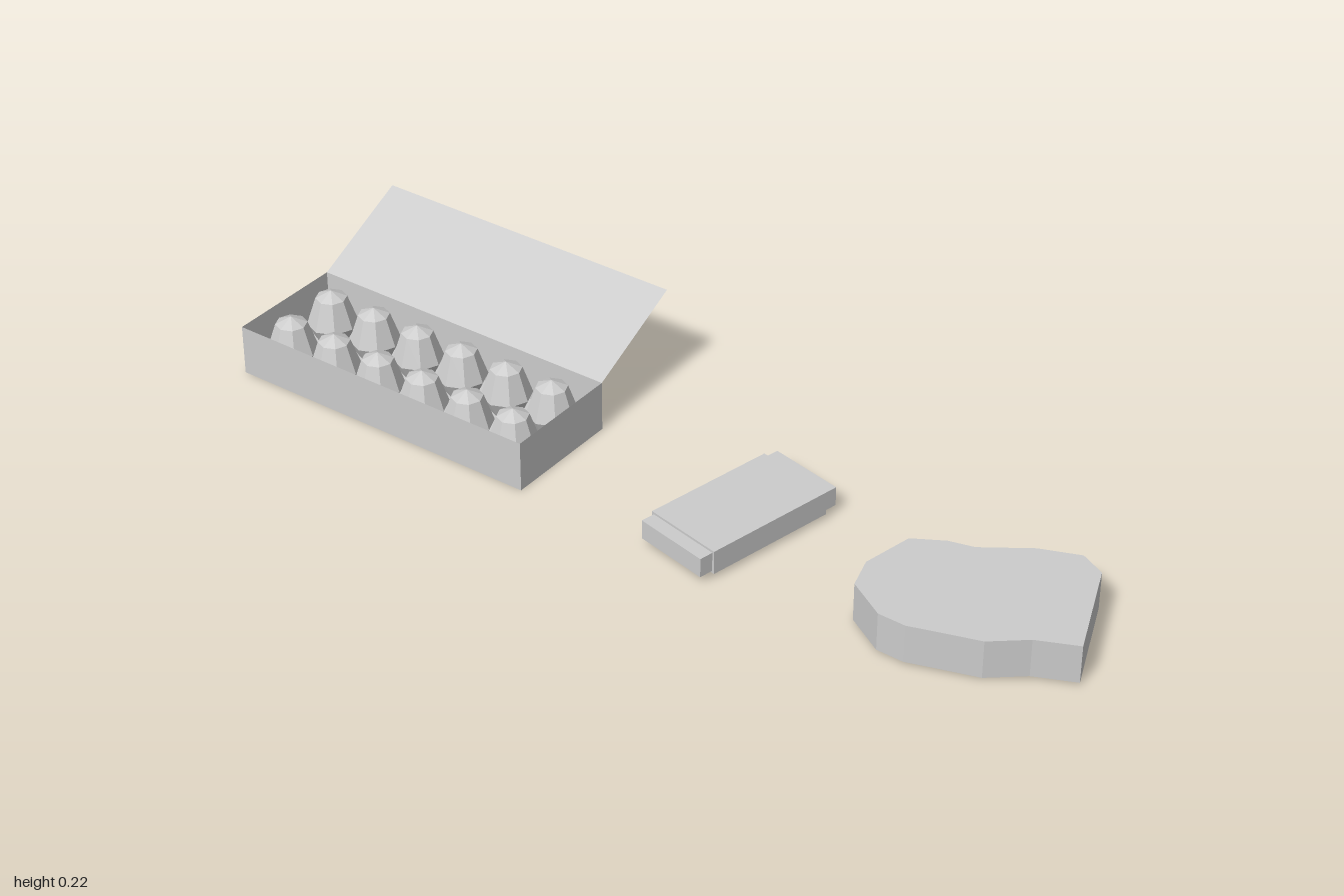
import * as THREE from 'three';

const grey = new THREE.MeshStandardMaterial({ color: 0xcccccc, flatShading: true });
const sheet = new THREE.MeshStandardMaterial({ color: 0xcccccc, flatShading: true, side: THREE.DoubleSide });

function add(parent, name, geometry, material, x = 0, y = 0, z = 0) {
  const mesh = new THREE.Mesh(geometry, material);
  mesh.name = name;
  mesh.position.set(x, y, z);
  parent.add(mesh);
  return mesh;
}

function createEggCarton() {
  const carton = new THREE.Group();
  carton.name = 'eggCarton';
  carton.position.set(-0.555, 0, 0.158);
  carton.rotation.y = 0.2187;
  const W = 0.738, D = 0.272, H = 0.113;

  // Tray: a floor and four thin walls
  add(carton, 'trayFloor', new THREE.PlaneGeometry(W, D), sheet, 0, 0.001, 0).rotation.x = -Math.PI / 2;
  for (const s of [1, -1]) {
    const long = add(carton, s > 0 ? 'frontWall' : 'backWall', new THREE.PlaneGeometry(W, H), sheet, 0, H / 2, s * D / 2);
    long.rotation.y = s > 0 ? 0 : Math.PI;
    const end = add(carton, s > 0 ? 'leftWall' : 'rightWall', new THREE.PlaneGeometry(D, H), sheet, s * W / 2, H / 2, 0);
    end.rotation.y = s * Math.PI / 2;
  }

  // Lid: a thin panel hinged on the back edge and tilted backwards
  const rise = 0.11, reach = 0.227;
  const lid = add(carton, 'lid', new THREE.PlaneGeometry(W, Math.hypot(rise, reach)), sheet,
    0, H + rise / 2, -D / 2 - reach / 2);
  lid.rotation.x = -Math.atan2(reach, rise);

  // Eggs: two rows of six faceted shells
  const profile = [[0, 0.003], [0.036, 0.014], [0.055, 0.052], [0.034, 0.114], [0, 0.13]]
    .map(([r, y]) => new THREE.Vector2(r, y));
  const egg = new THREE.LatheGeometry(profile, 8);
  for (const z of [-0.064, 0.064])
    for (let i = 0; i < 6; i++) add(carton, 'egg', egg, grey, (i - 2.5) * 0.118, 0, z);
  return carton;
}

function createWrappedBlock() {
  const block = new THREE.Group();
  block.name = 'wrappedBlock';
  block.position.set(0.22, 0.038, -0.029);
  add(block, 'blockCore', new THREE.BoxGeometry(0.17, 0.043, 0.362), grey);
  add(block, 'sleeve', new THREE.BoxGeometry(0.18, 0.053, 0.3), grey);
  return block;
}

function createSlab() {
  // Irregular slab: outline listed as x, z
  const outline = [
    [0.81, -0.375], [0.87, -0.36], [1.0, -0.165], [0.925, -0.11], [0.87, -0.04], [0.8, 0], [0.74, 0.035],
    [0.68, 0.047], [0.585, 0.015], [0.55, -0.05], [0.55, -0.165], [0.605, -0.215], [0.655, -0.24], [0.735, -0.325],
  ].map(([x, z]) => new THREE.Vector2(x, -z));
  const geometry = new THREE.ExtrudeGeometry(new THREE.Shape(outline), { depth: 0.085, bevelEnabled: false });
  geometry.rotateX(-Math.PI / 2);
  const slab = new THREE.Mesh(geometry, grey);
  slab.name = 'meatSlab';
  slab.position.y = 0.005;
  return slab;
}

export function createModel() {
  const model = new THREE.Group();
  model.name = 'groceries';
  model.add(createEggCarton(), createWrappedBlock(), createSlab());
  return model;
}
